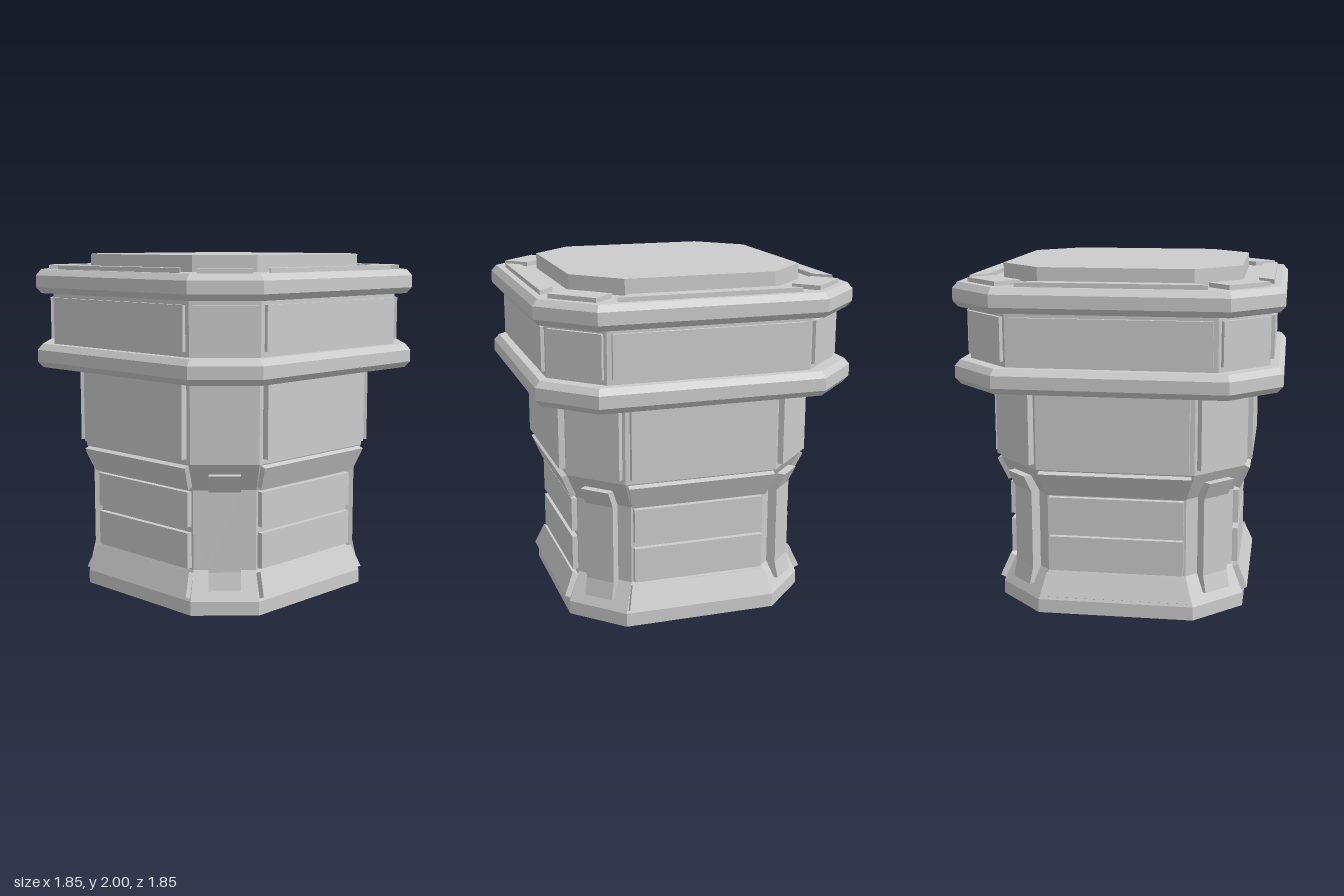
import * as THREE from 'three';

const material = new THREE.MeshStandardMaterial({ color: 0xcccccc, flatShading: true });

// Corners of a chamfered square: half width w, half length f of the straight sides
const octagon = ([y, w, f]) =>
  [[f, w], [w, f], [w, -f], [f, -w], [-f, -w], [-w, -f], [-w, f], [-f, w]].map(([x, z]) => [x, y, z]);

// Closed solid through a stack of chamfered squares [y, w, f]
function loft(sections) {
  const rings = sections.map(octagon);
  const pos = [];
  const tri = (...points) => points.forEach((p) => pos.push(...p));
  const last = rings.length - 1;
  for (let i = 0; i < 8; i++) {
    const j = (i + 1) % 8;
    for (let k = 0; k < last; k++) {
      const [a, b, c, d] = [rings[k][i], rings[k][j], rings[k + 1][j], rings[k + 1][i]];
      tri(a, b, c);
      tri(a, c, d);
    }
    tri([0, sections[0][0], 0], rings[0][j], rings[0][i]);
    tri([0, sections[last][0], 0], rings[last][i], rings[last][j]);
  }
  const g = new THREE.BufferGeometry();
  g.setAttribute('position', new THREE.Float32BufferAttribute(pos, 3));
  g.computeVertexNormals();
  return g;
}

// Trapezoid slab facing +z, from [half width, y, z] at its lower edge to the same at its upper edge
function slab([h0, y0, z0], [h1, y1, z1], thickness) {
  const g = new THREE.BoxGeometry(2, 1, 1).toNonIndexed();
  const len = Math.hypot(y1 - y0, z1 - z0);
  const ny = (z0 - z1) / len, nz = (y1 - y0) / len;
  const p = g.attributes.position;
  for (let i = 0; i < p.count; i++) {
    const t = p.getY(i) + 0.5;
    const out = p.getZ(i) > 0 ? thickness : -0.005;
    p.setXYZ(i,
      p.getX(i) * (h0 + (h1 - h0) * t),
      y0 + (y1 - y0) * t + ny * out,
      z0 + (z1 - z0) * t + nz * out);
  }
  g.computeVertexNormals();
  return g;
}

// Bent strap that follows the waist on a chamfered corner; profile is [distance, y]
function strap() {
  const inner = [[0.765, 0.14], [0.742, 0.24], [0.742, 0.70], [0.79, 0.80]];
  const outer = inner.map(([d, y]) => [d + 0.055, y]).reverse();
  const shape = new THREE.Shape([...inner, ...outer].map(([d, y]) => new THREE.Vector2(d, y)));
  return new THREE.ExtrudeGeometry(shape, { depth: 0.18, bevelEnabled: false })
    .translate(0, 0, -0.09)
    .rotateY(-Math.PI / 2);
}

export function createModel() {
  const model = new THREE.Group();
  model.name = 'pedestal';

  const add = (name, geometry, angle = 0) => {
    const mesh = new THREE.Mesh(geometry, material);
    mesh.name = name;
    mesh.rotation.y = angle;
    model.add(mesh);
  };

  // Core solids, bottom to top
  const collar = (y) => loft([
    [y, 0.895, 0.635], [y + 0.035, 0.925, 0.645], [y + 0.105, 0.925, 0.645], [y + 0.14, 0.895, 0.635],
  ]);
  add('column', loft([
    [0, 0.72, 0.45], [0.08, 0.72, 0.45], [0.24, 0.65, 0.40],
    [0.70, 0.65, 0.40], [0.86, 0.72, 0.45], [1.34, 0.72, 0.45],
  ]));
  add('lowerCollar', collar(1.33));
  add('head', loft([[1.46, 0.848, 0.58], [1.78, 0.848, 0.58]]));
  add('upperCollar', collar(1.77));
  add('topPlate', loft([[1.90, 0.68, 0.432], [2.0, 0.68, 0.432]]));

  // Panels repeated on the four straight sides
  const sideParts = {
    footPanel: slab([0.437, 0.095, 0.713], [0.405, 0.225, 0.657], 0.035),
    lowerWaistPanel: slab([0.387, 0.25, 0.65], [0.387, 0.455, 0.65], 0.032),
    upperWaistPanel: slab([0.387, 0.49, 0.65], [0.387, 0.69, 0.65], 0.032),
    shoulderPanel: slab([0.403, 0.72, 0.658], [0.435, 0.855, 0.714], 0.035),
    columnPanel: slab([0.423, 0.89, 0.72], [0.423, 1.305, 0.72], 0.037),
    headPanel: slab([0.553, 1.50, 0.848], [0.553, 1.745, 0.848], 0.02),
    topSidePanel: slab([0.52, 1.91, 0.857], [0.435, 1.91, 0.77], 0.025),
  };

  // Panels repeated on the four chamfered corners
  const cornerParts = {
    cornerStrap: strap(),
    cornerColumnPanel: slab([0.172, 0.89, 0.827], [0.172, 1.305, 0.827], 0.035),
    cornerHeadPanel: slab([0.17, 1.50, 1.01], [0.17, 1.745, 1.01], 0.02),
    topCornerPanel: slab([0.147, 1.91, 1.039], [0.147, 1.91, 0.874], 0.025),
  };

  for (let i = 0; i < 4; i++) {
    const angle = (i * Math.PI) / 2;
    for (const [name, g] of Object.entries(sideParts)) add(name, g, angle);
    for (const [name, g] of Object.entries(cornerParts)) add(name, g, angle + Math.PI / 4);
  }
  return model;
}
